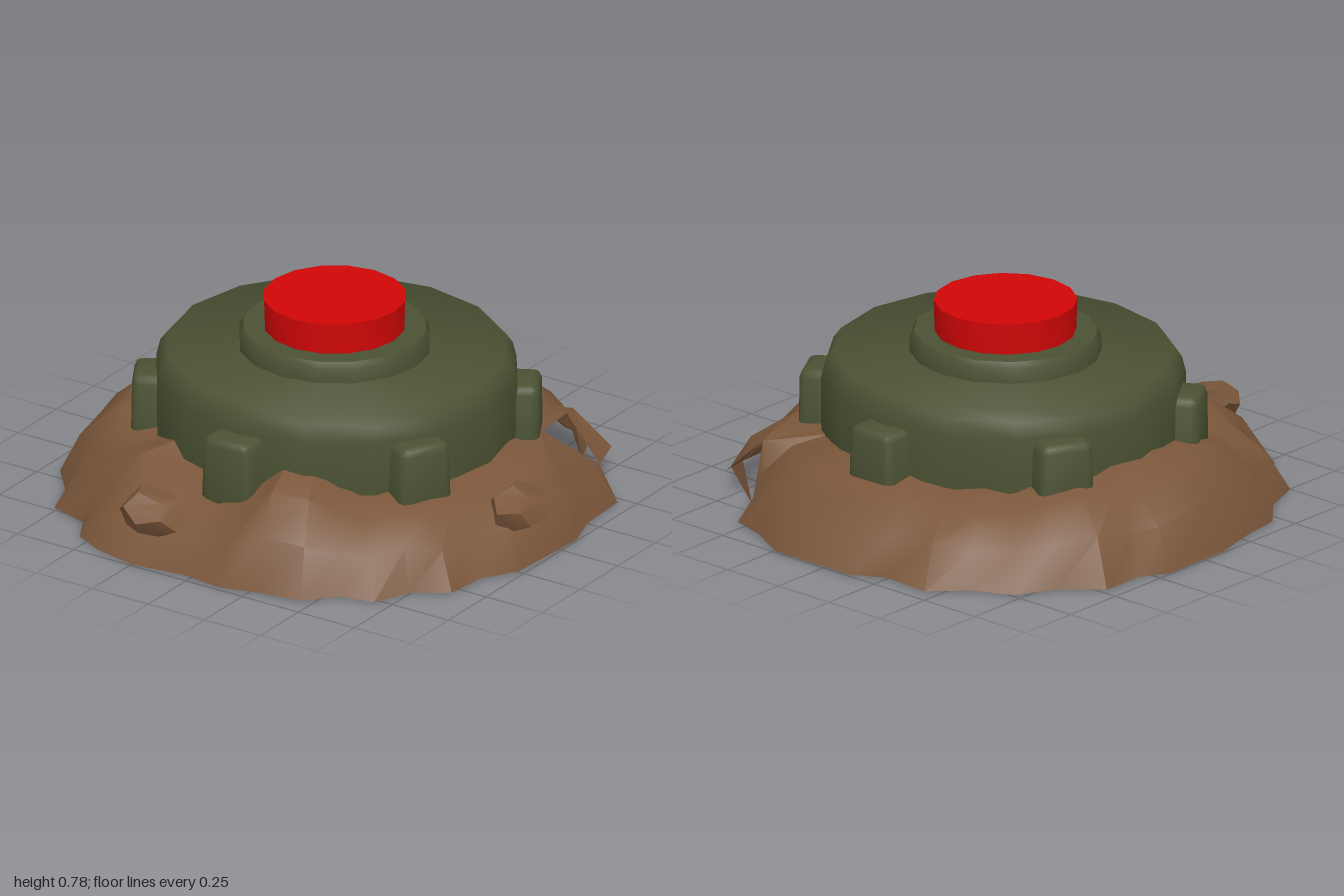
import * as THREE from 'three';
import { toCreasedNormals } from 'three/addons/utils/BufferGeometryUtils.js';
import { RoundedBoxGeometry } from 'three/addons/geometries/RoundedBoxGeometry.js';

const material = (name, color, side = THREE.FrontSide) => {
  const m = new THREE.MeshStandardMaterial({ color, side });
  m.name = name;
  return m;
};

const part = (name, geometry, mat) => {
  const mesh = new THREE.Mesh(geometry, mat);
  mesh.name = name;
  return mesh;
};

// Sixteen-sided turned part with soft bevels and smooth walls
const turned = (profile) => toCreasedNormals(
  new THREE.LatheGeometry(profile.map(([r, y]) => new THREE.Vector2(r, y)), 16), 1);

// Foot of the soil bank as x, z and optional y, from the back round by +x
const FOOT = [
  [0.24, -1], [0.4, -0.91], [0.54, -0.87], [0.62, -0.7], [0.76, -0.69, 0.1], [0.8, -0.55, 0.09],
  [0.94, -0.46], [0.95, -0.25], [1, -0.1], [0.98, 0.25], [0.9, 0.38], [0.88, 0.55],
  [0.75, 0.64], [0.69, 0.78], [0.55, 0.81], [0.46, 0.92], [0.28, 0.95], [0.14, 0.99],
  [-0.03, 0.97], [-0.24, 1], [-0.42, 0.96], [-0.54, 0.9], [-0.6, 0.79], [-0.76, 0.74],
  [-0.82, 0.58], [-0.93, 0.45], [-0.96, 0.25], [-1, 0.1], [-1, -0.2], [-0.94, -0.3],
  [-0.94, -0.48], [-0.8, -0.6], [-0.72, -0.75], [-0.57, -0.82], [-0.45, -0.94],
  [-0.25, -0.93], [-0.12, -1],
];
// Crest height above each foot point
const CREST = [
  0.3, 0.29, 0.28, 0.27, 0.27, 0.28, 0.27, 0.29, 0.29, 0.28, 0.28, 0.27, 0.28,
  0.27, 0.31, 0.35, 0.36, 0.28, 0.24, 0.27, 0.28, 0.32, 0.3, 0.27, 0.28, 0.32,
  0.32, 0.33, 0.33, 0.31, 0.32, 0.3, 0.27, 0.28, 0.27, 0.28, 0.3,
];
const TORN = 3; // the bank is torn on both sides of the flap that follows this point

function soilGeometry() {
  const n = FOOT.length;
  const foot = FOOT.map(([x, z, y = 0.005]) => [x, y, z]);
  const ring = (radius, height) => FOOT.map(([x, z], i) => {
    const k = radius(i, Math.hypot(x, z)) / Math.hypot(x, z);
    return [x * k, height(i), z * k];
  });
  const shoulder = ring((i, r) => r * 0.6 + 0.33 + 0.012 * Math.sin(i * 2.3),
    (i) => CREST[i] * 0.52 + 0.012 * Math.sin(i * 1.7));
  const brow = ring((i, r) => r * 0.35 + 0.45 + 0.015 * Math.sin(i * 2.9),
    (i) => CREST[i] * 0.88 + 0.01 * Math.sin(i * 1.3));
  const crest = ring((i) => 0.655 + 0.02 * Math.sin(i * 1.9 + 0.5), (i) => CREST[i]);
  // The flap hangs from the brow, clear of the ground
  shoulder[TORN + 1] = foot[TORN + 1];
  shoulder[TORN + 2] = foot[TORN + 2];
  brow[TORN + 1] = [0.62, 0.24, -0.64];
  brow[TORN + 2] = [0.64, 0.25, -0.57];
  brow[TORN + 3] = [0.68, 0.27, -0.35];

  const positions = [];
  const tri = (...corners) => corners.forEach((p) => positions.push(...p));
  const band = (low, high, i, j) => {
    tri(low[i], high[i], low[j]);
    tri(low[j], high[i], high[j]);
  };
  for (let i = 0; i < n; i++) {
    const j = (i + 1) % n;
    band(brow, crest, i, j);
    if (i === TORN) {
      tri(foot[i], shoulder[i], brow[j]);
      tri(shoulder[i], brow[i], brow[j]);
    } else if (i === TORN + 1) {
      band(shoulder, brow, i, j);
      // low strip of ground under the flap
      tri(foot[TORN], foot[j], foot[j + 1]);
    } else if (i === TORN + 2) {
      tri(foot[i], shoulder[j], foot[j]);
      tri(foot[i], brow[j], shoulder[j]);
    } else {
      band(foot, shoulder, i, j);
      band(shoulder, brow, i, j);
    }
  }
  const g = new THREE.BufferGeometry();
  g.setAttribute('position', new THREE.Float32BufferAttribute(positions, 3));
  return toCreasedNormals(g, 0.7);
}

// Lug with softened edges, a little narrower at the top and outer end
function lugGeometry() {
  const g = new RoundedBoxGeometry(0.22, 0.34, 0.22, 1, 0.03);
  const p = g.attributes.position;
  for (let i = 0; i < p.count; i++) {
    p.setX(i, p.getX(i) * (1 - 0.4 * p.getZ(i) - 0.3 * p.getY(i)));
    if (p.getY(i) > 0) p.setZ(i, p.getZ(i) * 0.96);
  }
  return toCreasedNormals(g, 0.9);
}

// Chunky stone with uneven corners
function stoneGeometry() {
  const g = new THREE.DodecahedronGeometry(1, 0);
  const p = g.attributes.position;
  const v = new THREE.Vector3();
  for (let i = 0; i < p.count; i++) {
    v.fromBufferAttribute(p, i);
    v.multiplyScalar(1 + 0.1 * Math.sin(v.x * 5 + v.y * 3 + v.z * 7));
    p.setXYZ(i, v.x, v.y, v.z);
  }
  return toCreasedNormals(g, 0.8);
}

export function createModel() {
  const model = new THREE.Group();
  model.name = 'buriedPressureDevice';
  const green = material('olive green', 0x4b5233, THREE.DoubleSide);
  const red = material('button red', 0xd00606);
  const brown = material('soil brown', 0x7a563a, THREE.DoubleSide);

  // Hollow body, open underneath
  const body = part('body', turned([
    [0.67, 0], [0.685, 0.3], [0.685, 0.48], [0.67, 0.54], [0.64, 0.58], [0, 0.58],
  ]), green);
  body.scale.z = 0.97;

  // Collar and button
  const collar = part('collar', turned([[0.36, 0.575], [0.36, 0.635], [0.345, 0.66], [0, 0.66]]), green);
  collar.scale.z = 0.975;
  const button = part('button', turned([[0.262, 0.655], [0.266, 0.78], [0, 0.78]]), red);
  collar.position.x = button.position.x = -0.01;
  model.add(body, collar, button);

  // Six lugs around the side, reaching down behind the soil
  const lugs = new THREE.Group();
  lugs.name = 'lugs';
  const lugShape = lugGeometry();
  for (let i = 0; i < 6; i++) {
    const a = (i * Math.PI) / 3;
    const lug = part('lug', lugShape, green);
    lug.position.set(Math.sin(a) * 0.65, 0.3, Math.cos(a) * 0.645);
    lug.rotation.y = a;
    lugs.add(lug);
  }
  model.add(lugs);

  // Bank of soil with two stones
  model.add(part('soilBank', soilGeometry(), brown));
  const stoneShape = stoneGeometry();
  const stones = [
    { at: [-0.23, 0.175, 0.89], size: [0.135, 0.08, 0.105], turn: [0.3, 0, -0.15] },
    { at: [0.89, 0.195, 0.135], size: [0.105, 0.08, 0.14], turn: [0, 0, -0.3] },
  ];
  for (const { at, size, turn } of stones) {
    const stone = part('stone', stoneShape, brown);
    stone.position.set(...at);
    stone.scale.set(...size);
    stone.rotation.set(...turn);
    model.add(stone);
  }
  return model;
}
